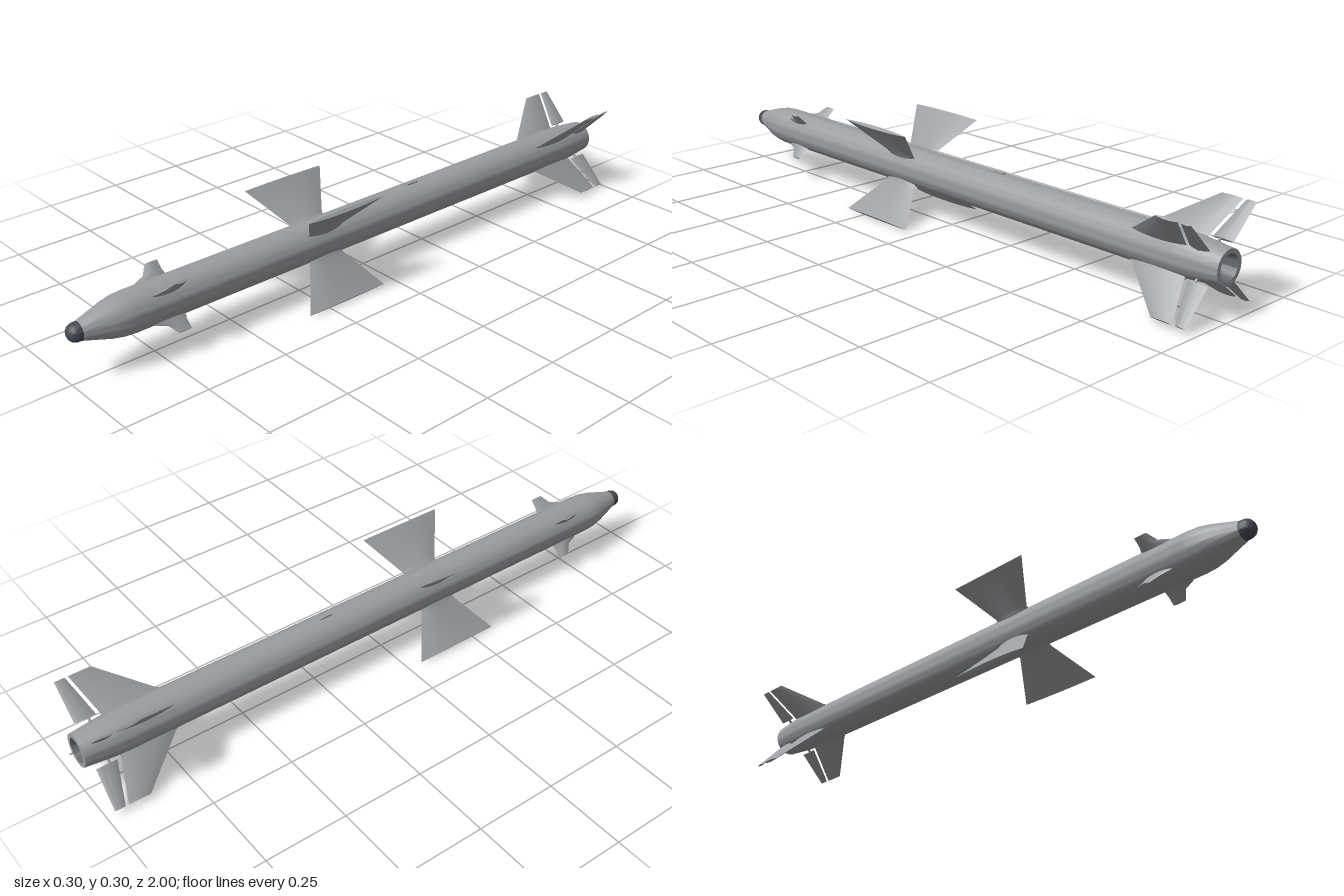
import * as THREE from 'three';
import { toCreasedNormals } from 'three/addons/utils/BufferGeometryUtils.js';

const AXIS_Y = 0.148;
const R = 0.06;

// Solid of revolution along z; profile is a list of [radius, z] from rear to front.
function turned(profile) {
  const geo = new THREE.LatheGeometry(profile.map(([r, z]) => new THREE.Vector2(r, z)), 48);
  geo.rotateX(Math.PI / 2);
  return toCreasedNormals(geo, 0.5);
}

// Fin lofted along +x through lens-shaped sections [radius, zLead, zTrail, halfThickness].
function fin(sections) {
  const steps = 8;
  const n = steps * 2;
  const pos = [];
  const idx = [];
  for (const [r, lead, trail, t] of sections) {
    for (let i = 0; i < n; i++) {
      const u = i <= steps ? i / steps : (n - i) / steps;
      const lens = t * (0.12 + 0.88 * 4 * u * (1 - u));
      const y = i === 0 || i === steps ? 0 : (i < steps ? lens : -lens);
      pos.push(r, y, lead + (trail - lead) * u);
    }
  }
  const last = (sections.length - 1) * n;
  for (let s = 0; s < last; s += n) {
    for (let i = 0; i < n; i++) {
      const j = (i + 1) % n;
      const a = s + i, b = s + j, c = s + n + j, d = s + n + i;
      idx.push(a, c, b, a, d, c);
    }
  }
  for (let i = 1; i < n - 1; i++) {
    idx.push(0, i, i + 1, last, last + i + 1, last + i);
  }
  const geo = new THREE.BufferGeometry();
  geo.setAttribute('position', new THREE.Float32BufferAttribute(pos, 3));
  geo.setIndex(idx);
  return toCreasedNormals(geo, 0.5);
}

export function createModel() {
  const grey = new THREE.MeshStandardMaterial({ color: 0x9a9da1 });
  grey.name = 'body grey';
  const dark = new THREE.MeshStandardMaterial({ color: 0x454b57 });
  dark.name = 'seeker dark';
  const nozzleGrey = new THREE.MeshStandardMaterial({ color: 0x666b72 });
  nozzleGrey.name = 'nozzle grey';

  const model = new THREE.Group();
  model.name = 'missile';
  const craft = new THREE.Group();
  craft.name = 'airframe';
  craft.position.y = AXIS_Y;
  model.add(craft);

  const add = (name, geo, mat, parent = craft) => {
    const mesh = new THREE.Mesh(geo, mat);
    mesh.name = name;
    parent.add(mesh);
    return mesh;
  };

  // Tube body with boat tail and tapered nose
  add('body', turned([
    [0.036, -1], [0.049, -1], [0.053, -0.96], [0.058, -0.91], [R, -0.87],
    [R, 0.82], [0.058, 0.85], [0.051, 0.885], [0.027, 0.965],
  ]), grey);

  // Rounded seeker tip
  add('seekerTip', turned([
    [0.027, 0.965], [0.0265, 0.978], [0.023, 0.988], [0.016, 0.995], [0.008, 0.999], [0, 1],
  ]), dark);

  // Recessed exhaust
  add('nozzle', turned([[0, -0.94], [0.028, -0.94], [0.036, -1]]), nozzleGrey);

  // Small lug on the spine
  const lug = add('spineLug', new THREE.BoxGeometry(0.012, 0.008, 0.04), grey);
  lug.position.set(0, R, -0.2);

  // Fin shapes shared by the four quadrants
  const parts = {
    canard: fin([
      [0.05, 0.78, 0.67, 0.010], [0.064, 0.765, 0.672, 0.007],
      [0.075, 0.735, 0.675, 0.006], [0.104, 0.715, 0.675, 0.004],
    ]),
    wing: fin([
      [0.05, 0.25, 0.115, 0.013], [0.066, 0.245, 0.12, 0.009],
      [0.075, 0.25, 0.115, 0.006], [0.203, 0.325, 0.045, 0.006],
    ]),
    tailFin: fin([
      [0.05, -0.71, -0.9, 0.010], [0.066, -0.735, -0.902, 0.007],
      [0.187, -0.87, -0.937, 0.004],
    ]),
    rudder: fin([[0.066, -0.912, -0.975, 0.006], [0.187, -0.946, -0.977, 0.003]]),
  };

  // Cruciform arrangement at 45 degrees
  for (let k = 0; k < 4; k++) {
    const quadrant = new THREE.Group();
    quadrant.name = 'finSet' + (k + 1);
    quadrant.rotation.z = Math.PI / 4 + (k * Math.PI) / 2;
    craft.add(quadrant);
    for (const [name, geo] of Object.entries(parts)) add(name, geo, grey, quadrant);
    // Hinge pin joining the rudder to the body
    const pin = new THREE.CylinderGeometry(0.004, 0.004, 0.03, 10);
    pin.rotateZ(Math.PI / 2);
    add('rudderPin', pin, grey, quadrant).position.set(0.062, 0, -0.935);
  }
  return model;
}
